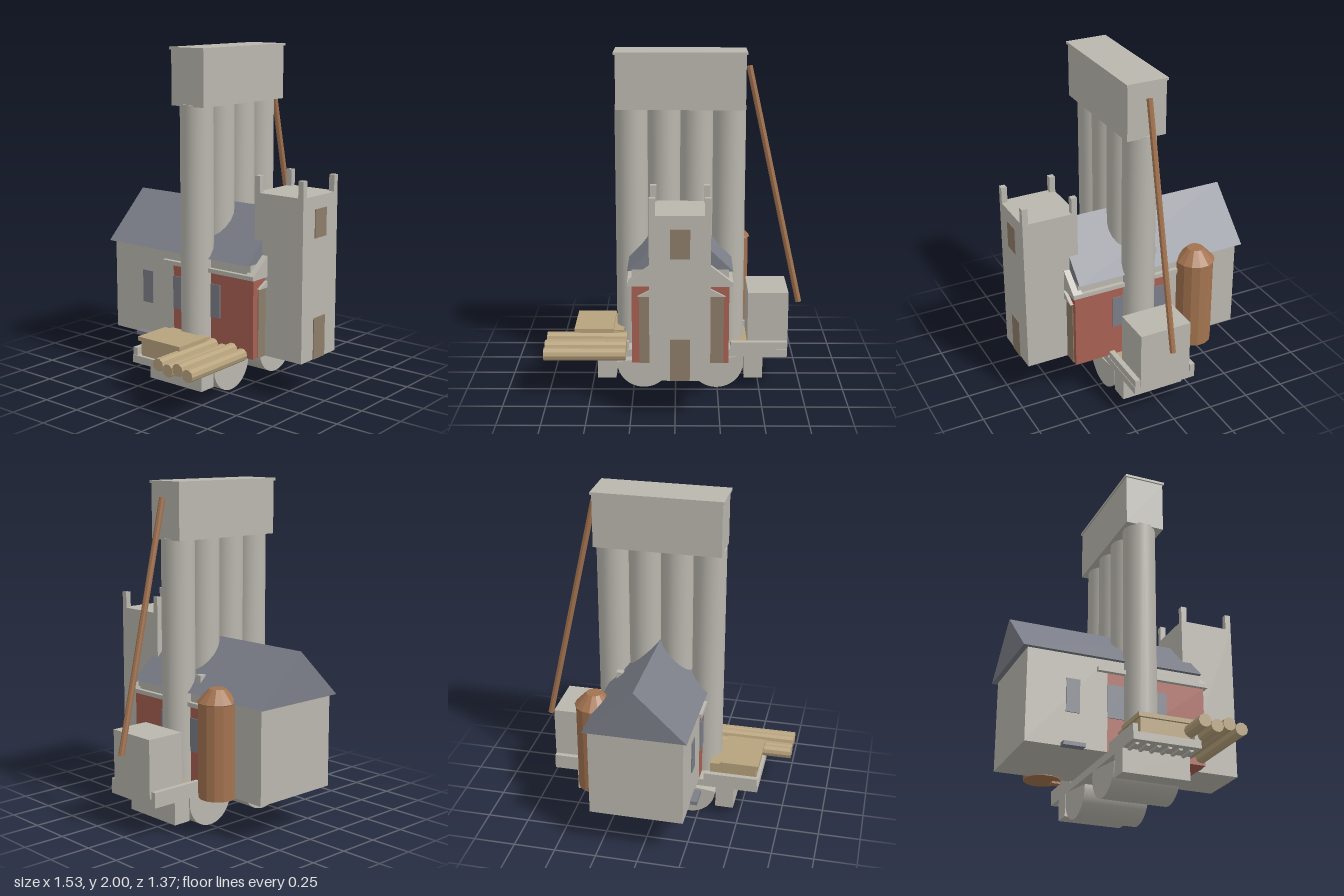
import * as THREE from 'three';
import { toCreasedNormals } from 'three/addons/utils/BufferGeometryUtils.js';

export function createModel() {
  const model = new THREE.Group();
  const mat = (name, color) => {
    const m = new THREE.MeshStandardMaterial({ color });
    m.name = name;
    return m;
  };
  const stone = mat('stone grey', 0xbab7ae);
  const slate = mat('slate blue', 0x7b7e88);
  const red = mat('brick red', 0xa86052);
  const copper = mat('copper brown', 0xa3734f);
  const timber = mat('timber tan', 0xb7a27c);
  const door = mat('door brown', 0x8e7d69);

  const add = (name, geometry, material) => {
    const mesh = new THREE.Mesh(geometry, material);
    mesh.name = name;
    model.add(mesh);
    return mesh;
  };
  // box given by its limits on each axis
  const box = (name, material, x0, x1, y0, y1, z0, z1) => {
    const mesh = add(name, new THREE.BoxGeometry(x1 - x0, y1 - y0, z1 - z0), material);
    mesh.position.set((x0 + x1) / 2, (y0 + y1) / 2, (z0 + z1) / 2);
    return mesh;
  };
  // rod between two points
  const rod = (name, material, a, b, r, sides) => {
    const dir = b.clone().sub(a);
    const g = toCreasedNormals(new THREE.CylinderGeometry(r, r, dir.length(), sides), 0.5);
    const mesh = add(name, g, material);
    mesh.position.copy(a).add(b).multiplyScalar(0.5);
    mesh.quaternion.setFromUnitVectors(new THREE.Vector3(0, 1, 0), dir.normalize());
    return mesh;
  };
  // triangular prism running along z
  const gable = (name, material, x0, x1, y0, y1, z0, z1) => {
    const shape = new THREE.Shape([
      new THREE.Vector2(x0, y0), new THREE.Vector2(x1, y0), new THREE.Vector2((x0 + x1) / 2, y1),
    ]);
    const g = new THREE.ExtrudeGeometry(shape, { depth: z1 - z0, bevelEnabled: false });
    add(name, g, material).position.z = z0;
  };
  const V = (x, y, z) => new THREE.Vector3(x, y, z);

  // base slab with rounded bellies and end blocks
  box('baseSlab', stone, -0.61, 0.665, 0.195, 0.24, -0.18, 0.215);
  for (const x of [-0.19, 0.245]) {
    const half = new THREE.Shape();
    half.moveTo(-0.16, 0.04);
    half.absarc(0, 0, 0.16, Math.PI, 2 * Math.PI, false);
    half.lineTo(0.16, 0.04);
    const g = new THREE.ExtrudeGeometry(half, { depth: 0.395, bevelEnabled: false, curveSegments: 24 });
    add('roundBelly', toCreasedNormals(g, 0.5), stone).position.set(x, 0.16, -0.18);
  }
  box('leftBlock', stone, -0.465, -0.355, 0.06, 0.2, -0.18, 0.215);
  box('rightBlock', stone, 0.41, 0.52, 0.06, 0.2, -0.18, 0.215);
  for (let i = 0; i < 6; i++) {
    const z = -0.14 + i * 0.063;
    rod('underRib', stone, V(0.52, 0.195, z), V(0.625, 0.195, z), 0.013, 8);
    rod('underRib', stone, V(-0.57, 0.195, z), V(-0.465, 0.195, z), 0.013, 8);
  }

  // rails along the deck edges
  for (const [x0, x1] of [[-0.605, -0.28], [0.33, 0.665]]) {
    box('backRail', stone, x0, x1, 0.23, 0.285, -0.18, -0.15);
    box('frontRail', stone, x0, x1, 0.23, 0.285, 0.18, 0.212);
  }
  box('rightDeck', timber, 0.33, 0.45, 0.24, 0.26, -0.14, 0.175);
  box('leftDeck', timber, -0.605, -0.37, 0.33, 0.355, -0.145, 0.175);
  box('deckFrame', timber, -0.59, -0.34, 0.24, 0.33, -0.13, 0.16);
  box('deckSide', timber, -0.375, -0.31, 0.24, 0.34, -0.14, 0.15);
  box('cabin', stone, 0.43, 0.67, 0.24, 0.585, -0.14, 0.18);

  // stacked logs
  for (let i = 0; i < 4; i++) {
    const z = 0.16 + i * 0.071, y = i % 2 ? 0.273 : 0.292;
    rod('log', timber, V(-0.768, y, z), V(-0.29, y, z), 0.037, 10);
  }

  // four silos and head house
  for (let i = 0; i < 4; i++) {
    const x = -0.26 + i * 0.191;
    rod('silo', stone, V(x, 0.2, 0.015), V(x, 1.68, 0.015), 0.097, 16);
  }
  box('headHouse', stone, -0.345, 0.402, 1.67, 1.985, -0.1, 0.137);
  box('headRoof', stone, -0.355, 0.41, 1.985, 2, -0.108, 0.144);
  rod('chute', copper, V(0.425, 1.908, 0.016), V(0.745, 0.477, 0.016), 0.018, 8);

  // hall with slate roof
  box('hallBack', stone, -0.25, 0.305, 0.24, 0.8, -0.655, -0.18);
  box('hallFront', red, -0.25, 0.308, 0.24, 0.71, -0.18, 0.42);
  box('hallUpper', stone, -0.25, 0.305, 0.71, 0.8, -0.18, 0.4);
  box('cornice', stone, -0.275, 0.33, 0.71, 0.735, -0.245, 0.437);
  gable('roof', slate, -0.275, 0.33, 0.79, 1.08, -0.685, 0.4);
  gable('frontPediment', stone, -0.275, 0.33, 0.73, 0.965, 0.38, 0.437);
  gable('doorPediment', stone, -0.215, 0.285, 0.65, 0.78, 0.415, 0.44);
  box('frontDoor', door, -0.208, 0.278, 0.24, 0.655, 0.418, 0.425);
  for (const z of [-0.13, 0.13]) {
    box('rightWindow', slate, 0.305, 0.313, 0.44, 0.64, z - 0.05, z + 0.05);
    box('leftWindow', slate, -0.256, -0.248, 0.44, 0.64, z - 0.05, z + 0.05);
  }
  box('leftBackWindow', slate, -0.256, -0.248, 0.44, 0.64, -0.425, -0.345);
  box('sideStep', slate, -0.292, -0.24, 0.235, 0.258, -0.45, -0.32);
  box('roofVent', stone, 0.23, 0.272, 0.84, 0.89, -0.128, -0.09);

  // tower with corner posts
  box('tower', stone, -0.142, 0.195, 0.24, 1.19, 0.345, 0.68);
  for (const x of [-0.142, 0.16]) {
    for (const z of [0.345, 0.645]) box('towerPost', stone, x, x + 0.035, 1.18, 1.287, z, z + 0.035);
  }
  box('towerDoor', door, -0.028, 0.082, 0.24, 0.485, 0.678, 0.685);
  box('towerWindow', door, -0.028, 0.082, 0.95, 1.115, 0.678, 0.685);

  // copper tank with conical cap
  const profile = [[0, 0.235], [0.11, 0.235], [0.11, 0.785], [0.118, 0.79], [0.048, 0.865], [0, 0.865]];
  const tank = new THREE.LatheGeometry(profile.map(([x, y]) => new THREE.Vector2(x, y)), 14);
  add('tank', toCreasedNormals(tank, 0.3), copper).position.set(0.345, 0, -0.35);
  box('tankFoot', copper, 0.32, 0.37, 0.222, 0.24, -0.295, -0.245);

  return model;
}
